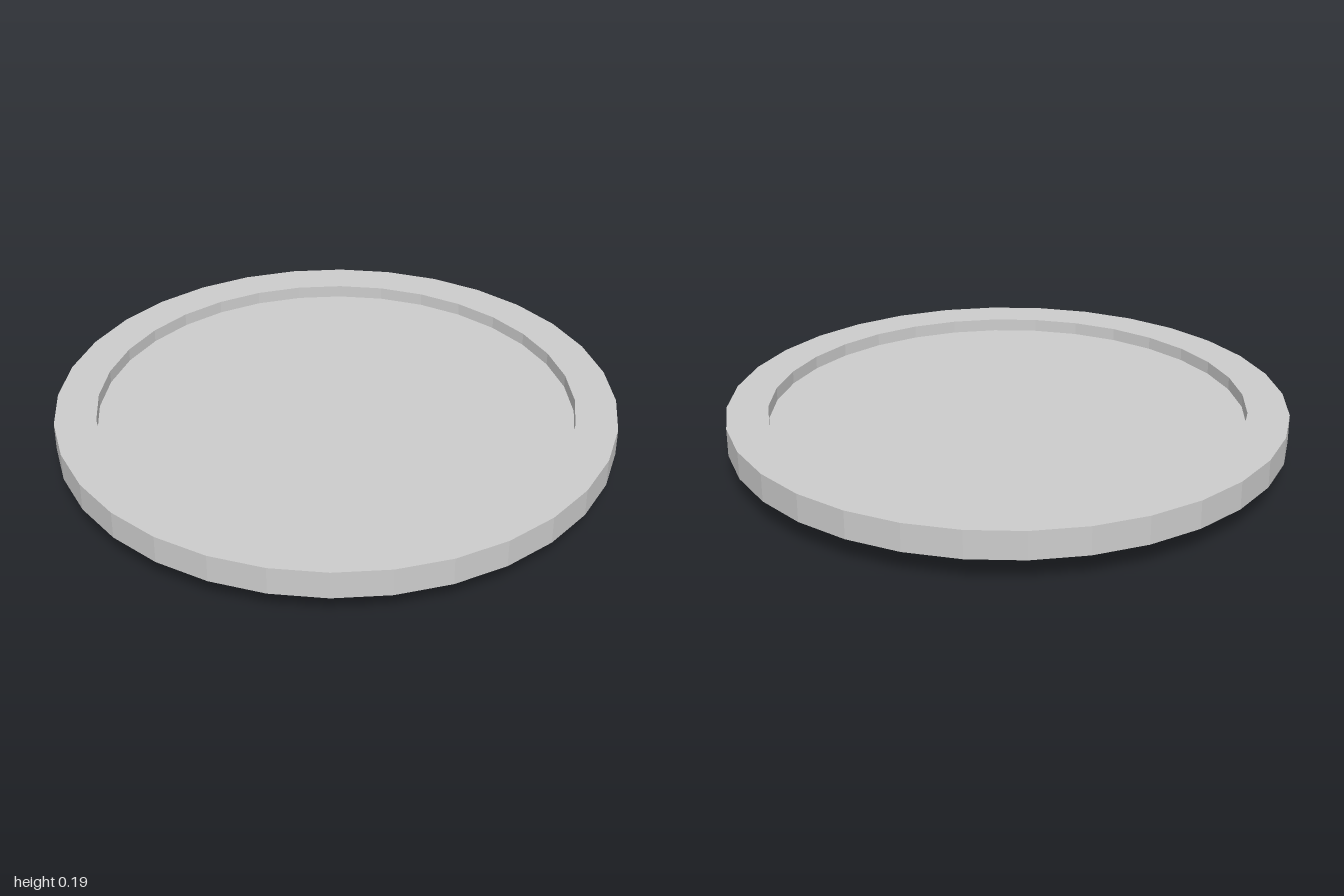
import * as THREE from 'three';

const SIDES = 32;

export function createModel() {
  const model = new THREE.Group();
  model.name = 'plate';
  const grey = new THREE.MeshStandardMaterial({ color: 0xcccccc, flatShading: true });
  grey.name = 'plain grey';

  // Turns a profile of [radius, height] pairs, running outward and up
  const turn = (name, profile) => {
    const points = profile.map(([r, y]) => new THREE.Vector2(r, y));
    const mesh = new THREE.Mesh(new THREE.LatheGeometry(points, SIDES), grey);
    mesh.name = name;
    model.add(mesh);
  };

  const footInner = 0.513, footOuter = 0.575, footTop = 0.043;
  const rimInner = 0.853, rimBottom = 0.09, rimTop = 0.19, floor = 0.143;

  // Hollow ring the plate stands on
  turn('footRing', [[footInner, footTop], [footInner, 0], [footOuter, 0], [footOuter, footTop]]);
  // Flat underside inside the foot ring
  turn('base', [[0, footTop], [footInner, footTop]]);
  // Sloping underside and raised rim
  turn('rim', [[footOuter, footTop], [1, rimBottom], [1, rimTop], [rimInner, rimTop], [rimInner, floor]]);
  // Recessed eating surface
  turn('floor', [[rimInner, floor], [0, floor]]);

  return model;
}
